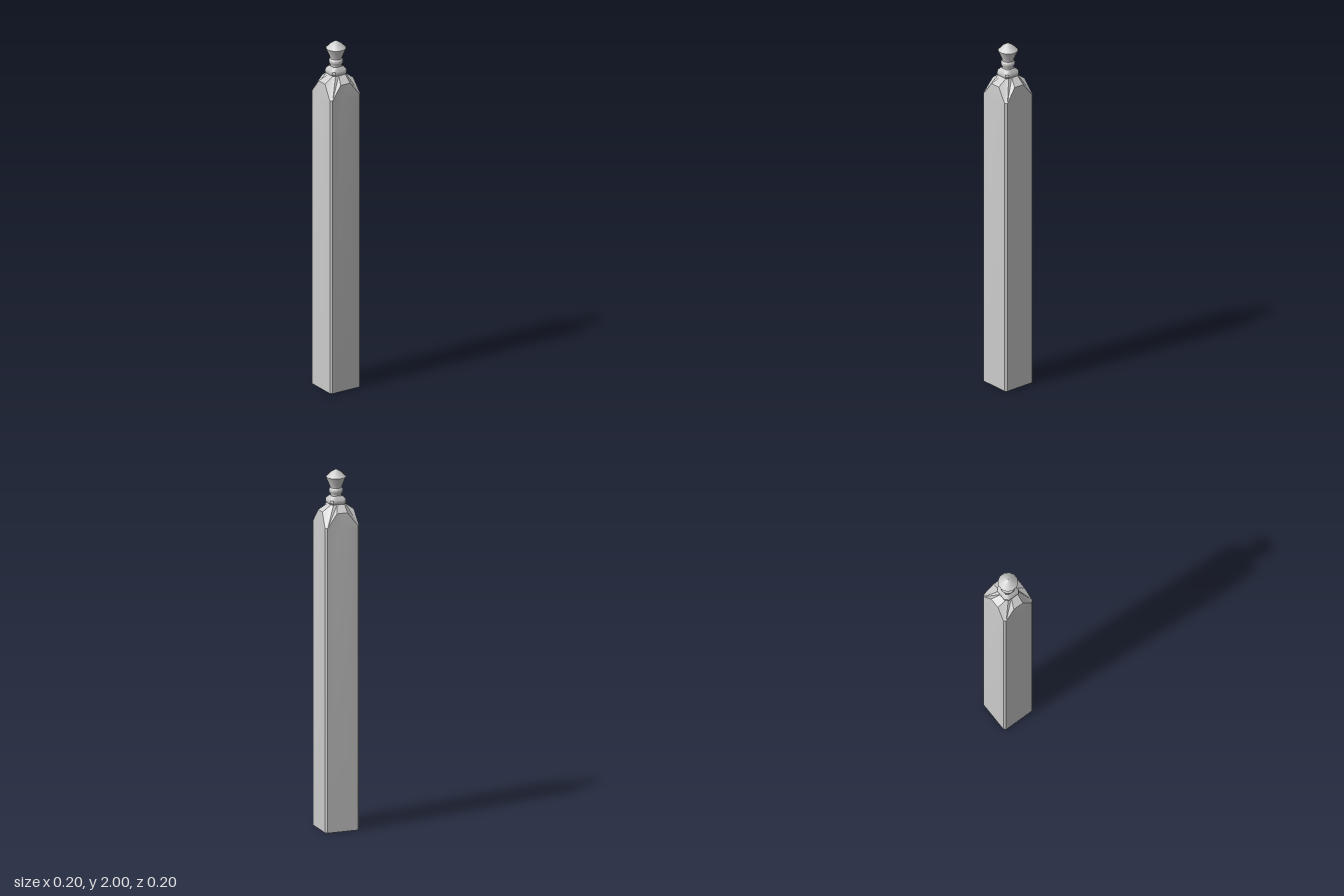
import * as THREE from 'three';
import { toCreasedNormals } from 'three/addons/utils/BufferGeometryUtils.js';

const material = new THREE.MeshStandardMaterial({ color: 0xcccccc, side: THREE.DoubleSide });

// Square ring with cut corners: four points per side, inner pair may sit at another height or depth
function ring(half, corner, y, inner = corner / 3, innerHalf = half, innerY = y) {
  const points = [];
  for (let side = 0; side < 4; side++) {
    const a = side * Math.PI / 2, up = new THREE.Vector3(0, 1, 0);
    [[-corner, y, half], [-inner, innerY, innerHalf], [inner, innerY, innerHalf], [corner, y, half]]
      .forEach(p => points.push(new THREE.Vector3(...p).applyAxisAngle(up, a)));
  }
  return points;
}

// Skin a stack of rings, bottom to top
function loft(rings) {
  const n = rings[0].length, index = [];
  for (let r = 0; r < rings.length - 1; r++) {
    for (let i = 0; i < n; i++) {
      const a = r * n + i, b = r * n + (i + 1) % n;
      index.push(a, b, b + n, a, b + n, a + n);
    }
  }
  const geometry = new THREE.BufferGeometry().setFromPoints(rings.flat());
  geometry.setIndex(index);
  return geometry;
}

function part(name, geometry) {
  const mesh = new THREE.Mesh(toCreasedNormals(geometry, 0.6), material);
  mesh.name = name;
  return mesh;
}

export function createModel() {
  const group = new THREE.Group();
  group.name = 'post';

  // Hollow shaft, open below, each face rising to a shallow peak
  const peaks = ring(0.098, 0.087, 1.70, 0.03, 0.091, 1.775);
  group.add(part('shaft', loft([
    ring(0.098, 0.087, 0, 0.03), ring(0.098, 0.087, 1.69, 0.03), peaks,
  ])));

  // Sloping cap between the face peaks and the collar
  group.add(part('cap', loft([peaks, ring(0.043, 0.032, 1.81)])));

  // Cut-cornered collar under the finial
  group.add(part('collar', loft([
    ring(0.043, 0.032, 1.81), ring(0.048, 0.035, 1.82), ring(0.046, 0.034, 1.835),
    ring(0.03, 0.02, 1.855),
  ])));

  // Turned finial: neck ring and faceted knob
  const profile = [
    [0.031, 1.85], [0.031, 1.862], [0.039, 1.877], [0.039, 1.888], [0.032, 1.898],
    [0.034, 1.908], [0.055, 1.957], [0.03, 1.982], [0, 2],
  ].map(p => new THREE.Vector2(...p));
  const finial = part('finial', new THREE.LatheGeometry(profile, 12));
  finial.rotation.y = Math.PI / 12;
  group.add(finial);

  return group;
}
